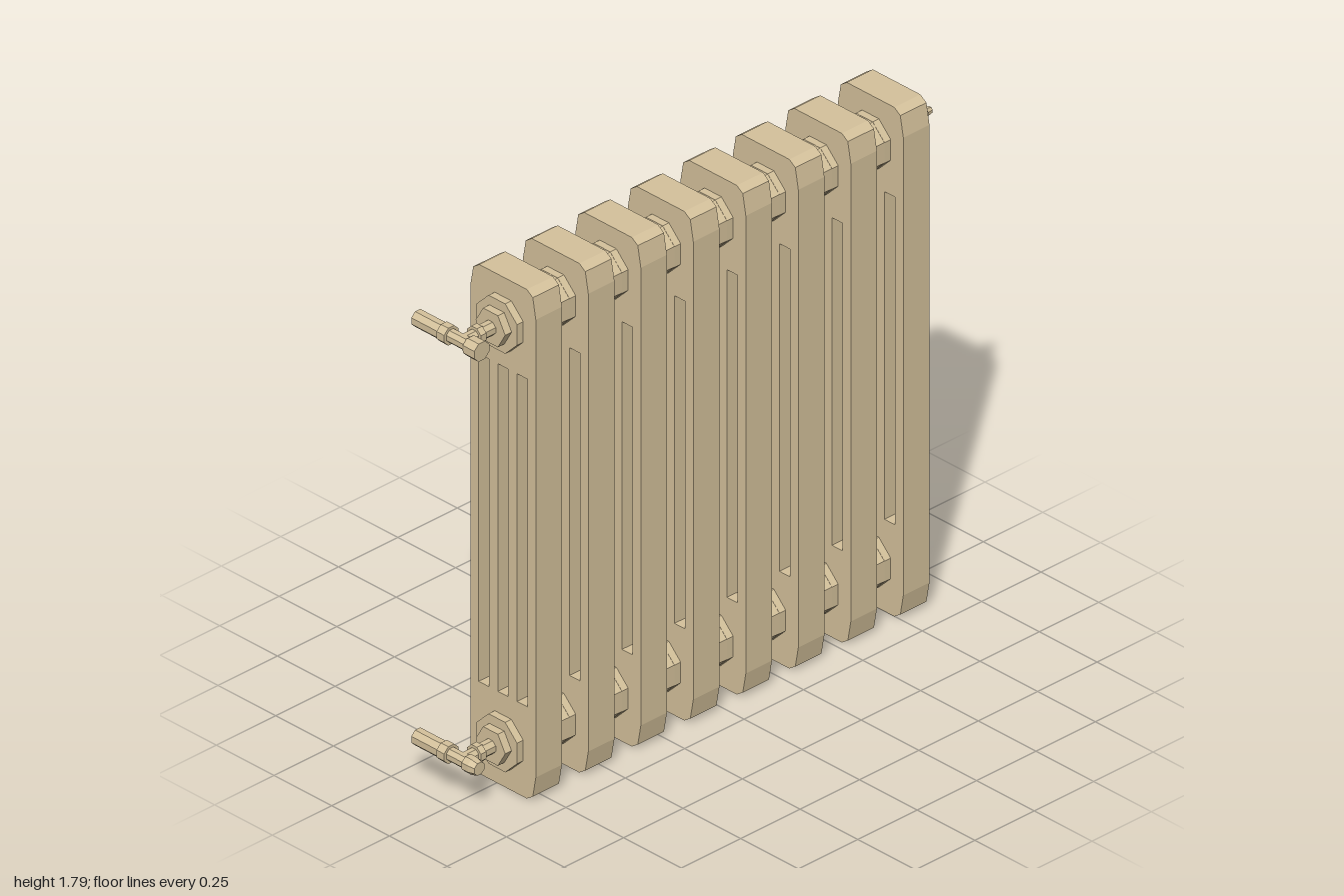
import * as THREE from 'three';

const cream = new THREE.MeshStandardMaterial({ color: 0xd4c19b, flatShading: true });
cream.name = 'cream enamel';
const copper = new THREE.MeshStandardMaterial({ color: 0xcc8b2e, flatShading: true });
copper.name = 'copper';

const COUNT = 8, PITCH = 0.221, FIRST = -0.743, WIDTH = 0.11;
const MID_Z = 0.027, HUBS = { lower: 0.162, upper: 1.631 };
const LAST = FIRST + PITCH * (COUNT - 1);

export function createModel() {
  const model = new THREE.Group();
  model.name = 'radiator';

  const add = (name, geometry, material, x = 0, y = 0, z = 0) => {
    const mesh = new THREE.Mesh(geometry, material);
    mesh.name = name;
    mesh.position.set(x, y, z);
    model.add(mesh);
  };

  // Faceted solid of revolution along 'x' or 'z'; profile is [position, radius] pairs
  const turned = (profile, sides, axis, start = 0) => {
    const pts = [[profile[0][0], 0], ...profile, [profile[profile.length - 1][0], 0]];
    const g = new THREE.LatheGeometry(pts.map(([p, r]) => new THREE.Vector2(r, p)), sides, start);
    return axis === 'x' ? g.rotateZ(-Math.PI / 2) : g.rotateX(Math.PI / 2);
  };

  // Column section: chamfered plate with three slots (outline clockwise, slots anticlockwise)
  const corner = [[0.142, 0.09], [0.129, 0.018], [0.103, 0]];
  const H = 1.787;
  const outline = [
    ...corner,
    ...corner.map(([u, v]) => [-u, v]).reverse(),
    ...corner.map(([u, v]) => [-u, H - v]),
    ...corner.map(([u, v]) => [u, H - v]).reverse(),
  ];
  const shape = new THREE.Shape(outline.map(([u, v]) => new THREE.Vector2(u, v)));
  const w = 0.0225, low = 0.323, high = 1.473;
  for (const c of [-0.083, 0, 0.083]) {
    shape.holes.push(new THREE.Path([[c - w, low], [c + w, low], [c + w, high], [c - w, high]]
      .map(([u, v]) => new THREE.Vector2(u, v))));
  }
  const section = new THREE.ExtrudeGeometry(shape, { depth: WIDTH, bevelEnabled: false });
  section.translate(0, 0, -WIDTH / 2).rotateY(Math.PI / 2);

  // Octagonal collars with slightly smaller joints between them
  const R = 0.0875 / Math.cos(Math.PI / 8);
  const collar = turned([[-0.081, R], [0.081, R]], 8, 'x', Math.PI / 8);
  const joint = turned([[-0.03, R * 0.99], [0, R * 0.98], [0.03, R * 0.99]], 8, 'x', Math.PI / 8);
  for (let i = 0; i < COUNT; i++) {
    const x = FIRST + i * PITCH;
    add('columnSection', section, cream, x, 0, MID_Z);
    for (const y of Object.values(HUBS)) {
      add('hubCollar', collar, cream, x, y, MID_Z);
      if (i < COUNT - 1) add('hubJoint', joint, cream, x + PITCH / 2, y, MID_Z);
    }
  }

  // Hexagonal end plugs
  const plug = turned([[-0.035, 0.064], [0.035, 0.064]], 6, 'x');
  for (const y of Object.values(HUBS)) {
    add('endPlug', plug, cream, FIRST - 0.073, y, MID_Z);
    add('endPlug', plug, cream, LAST + 0.077, y, MID_Z);
  }

  // Bleed valve on the upper left end
  const bleed = turned([[0.91, 0.029], [0.945, 0.029], [0.945, 0.021], [0.975, 0.021],
    [0.978, 0.016], [1, 0.012]], 8, 'x', Math.PI / 8);
  add('bleedValve', bleed, cream, 0, HUBS.upper, MID_Z);

  // Supply valves on the other end: tail into the plug, pipe behind, cap in front
  const tail = turned([[-0.97, 0.022], [-0.92, 0.022], [-0.92, 0.032], [-0.897, 0.032],
    [-0.897, 0.025], [-0.84, 0.025]], 8, 'x', Math.PI / 8);
  const body = turned([[-0.168, 0.029], [-0.055, 0.029], [-0.055, 0.033], [-0.022, 0.033],
    [-0.022, 0.023], [0.06, 0.023]], 8, 'z', Math.PI / 8);
  const caps = {
    upper: turned([[0.055, 0.029], [0.062, 0.034], [0.11, 0.034]], 8, 'z', Math.PI / 8),
    lower: turned([[0.05, 0.029], [0.075, 0.029], [0.1, 0.023]], 8, 'z', Math.PI / 8),
  };
  for (const [level, y] of Object.entries(HUBS)) {
    add('valveTail', tail, cream, 0, y, MID_Z);
    add('valveBody', body, cream, -0.968, y, 0);
    add('valveCap', caps[level], cream, -0.968, y, 0);
  }

  // Wall hooks cradling the upper hub: flat strips bent to the octagon
  const upperEdge = [[-0.168, 1.598], [-0.062, 1.598], [-0.01, 1.545], [0.064, 1.545], [0.092, 1.573]];
  const lowerEdge = [[0.1, 1.565], [0.068, 1.531], [-0.015, 1.531], [-0.067, 1.586], [-0.168, 1.586]];
  const strip = new THREE.Shape([...upperEdge, ...lowerEdge].map(([z, y]) => new THREE.Vector2(-z, y)));
  const hook = new THREE.ExtrudeGeometry(strip, { depth: 0.013, bevelEnabled: false });
  hook.translate(0, 0, -0.0065).rotateY(Math.PI / 2);
  for (const x of [-0.411, 0.472]) add('wallHook', hook, copper, x);

  return model;
}
